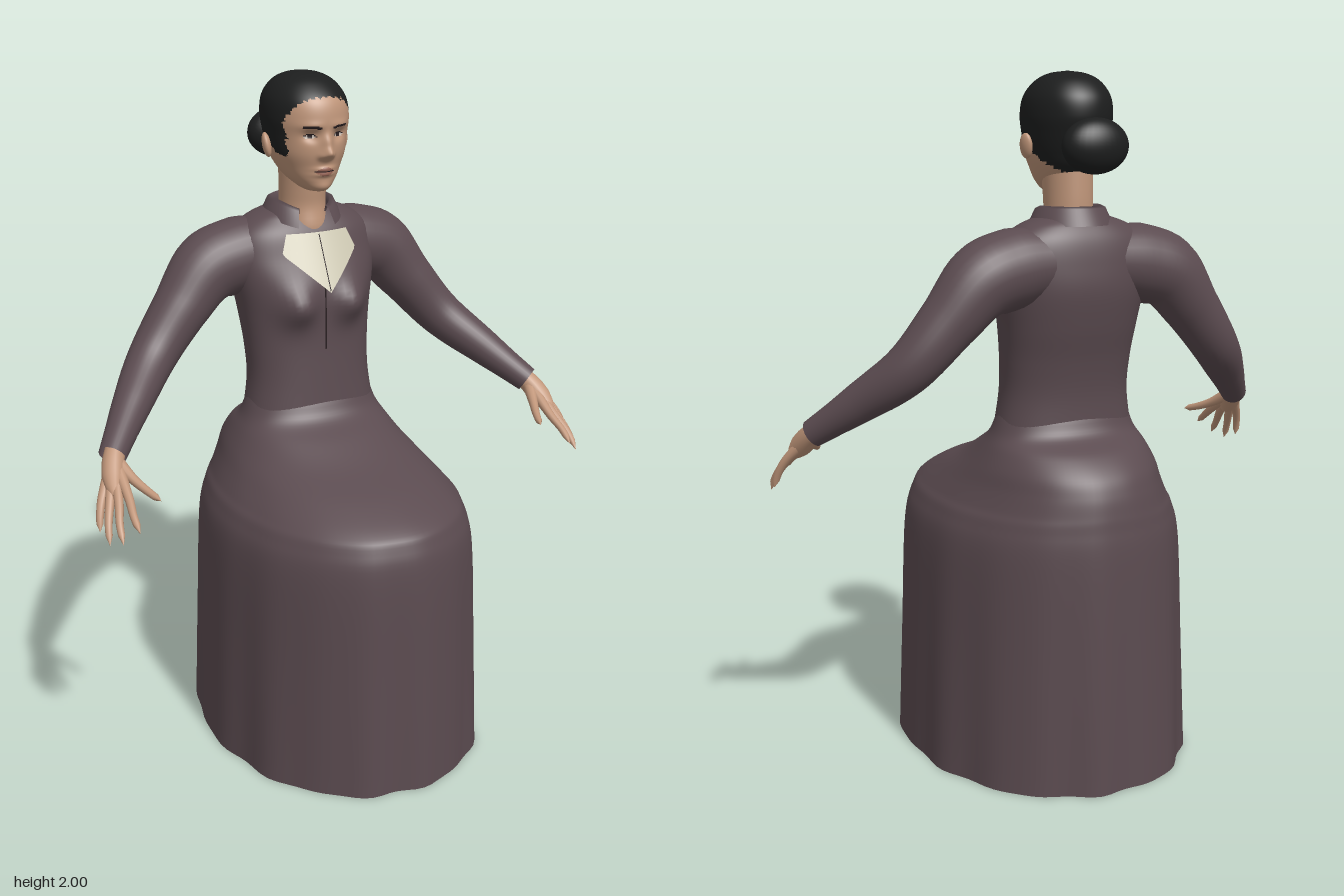
import * as THREE from 'three';

const mat = (name, color, side = THREE.FrontSide) => {
  const m = new THREE.MeshStandardMaterial({ color, side });
  m.name = name;
  return m;
};
const bump = (d, w) => Math.exp(-((d / w) ** 2));

// Smooth loft through rings [y, halfWidth, zBack, zFront]; pick() sorts faces into material groups
function loft(rings, steps, segs, power, adjust, pick, kinds = 1) {
  const spline = new THREE.CubicInterpolant(rings.map((_, i) => i), rings.flat(), 4, new Float32Array(4));
  const pos = [];
  const p = new THREE.Vector3();
  for (let i = 0; i <= steps; i++) {
    const [y, hw, zb, zf] = spline.evaluate((i / steps) * (rings.length - 1));
    for (let j = 0; j < segs; j++) {
      const a = (j / segs) * Math.PI * 2;
      const s = Math.sin(a), c = Math.cos(a);
      const k = Math.pow(Math.abs(s) ** power + Math.abs(c) ** power, -1 / power);
      p.set(Math.max(hw, 0) * s * k, y, (zb + zf) / 2 + ((zf - zb) / 2) * c * k);
      if (adjust) adjust(p, a);
      pos.push(p.x, p.y, p.z);
    }
  }
  const lists = Array.from({ length: kinds }, () => []);
  for (let i = 0; i < steps; i++) for (let j = 0; j < segs; j++) {
    const a = i * segs + j, b = i * segs + ((j + 1) % segs), c = b + segs, d = a + segs;
    const mid = (n) => (pos[a * 3 + n] + pos[c * 3 + n]) / 2;
    lists[pick ? pick(mid(0), mid(1), mid(2)) : 0].push(a, b, c, a, c, d);
  }
  const g = new THREE.BufferGeometry();
  g.setAttribute('position', new THREE.Float32BufferAttribute(pos, 3));
  g.setIndex(lists.flat());
  let start = 0;
  if (kinds > 1) lists.forEach((l, k) => { g.addGroup(start, l.length, k); start += l.length; });
  g.computeVertexNormals();
  return g;
}

// Tube along a smooth curve with a radius that varies along it
function limb(points, radii, steps, segs) {
  const curve = new THREE.CatmullRomCurve3(points.map((q) => new THREE.Vector3(...q)));
  const g = new THREE.TubeGeometry(curve, steps, 1, segs);
  const at = g.attributes.position;
  const v = new THREE.Vector3();
  for (let i = 0; i <= steps; i++) {
    const c = curve.getPointAt(i / steps);
    const t = (i / steps) * (radii.length - 1), k = Math.min(Math.floor(t), radii.length - 2);
    const r = THREE.MathUtils.lerp(radii[k], radii[k + 1], t - k);
    for (let j = 0; j <= segs; j++) {
      const n = i * (segs + 1) + j;
      v.fromBufferAttribute(at, n).sub(c).multiplyScalar(r).add(c);
      at.setXYZ(n, v.x, v.y, v.z);
    }
  }
  return g;
}

// Open sheet from a function of (u, v)
function sheet(nu, nv, fn) {
  const g = new THREE.PlaneGeometry(1, 1, nu, nv);
  const at = g.attributes.position;
  for (let i = 0; i < at.count; i++) at.setXYZ(i, ...fn(at.getX(i) + 0.5, at.getY(i) + 0.5));
  g.computeVertexNormals();
  return g;
}

export function createModel() {
  const model = new THREE.Group();
  const dress = mat('plum cloth', 0x5b4b50, THREE.DoubleSide);
  const skin = mat('skin', 0xc0967a);
  const hair = mat('black hair', 0x1d1e1e);
  const cream = mat('cream cloth', 0xcdc8b2, THREE.DoubleSide);
  const lips = mat('lips', 0x9a6758);
  const dark = mat('dark line', 0x2a2022);
  const white = mat('eye white', 0xcfc4ba);
  const add = (name, geometry, material) => {
    const m = new THREE.Mesh(geometry, material);
    m.name = name;
    model.add(m);
    return m;
  };

  // Long skirt, open below, with soft folds that fade upward
  add('skirt', loft([
    [0, 0.405, -0.522, 0.522], [0.35, 0.393, -0.512, 0.512], [0.66, 0.38, -0.503, 0.502],
    [0.76, 0.355, -0.493, 0.482], [0.8, 0.33, -0.487, 0.45], [0.85, 0.297, -0.475, 0.34],
    [0.9, 0.268, -0.45, 0.19], [0.95, 0.24, -0.395, 0.08], [0.99, 0.218, -0.32, 0],
    [1.04, 0.2, -0.292, -0.032],
  ], 54, 96, 2.1, (p, a) => {
    const k = 1 + (0.012 * Math.sin(11 * a) + 0.008 * Math.sin(17 * a + 1)) * Math.max(0, 1 - p.y / 0.95);
    p.x *= k;
    p.z *= k;
  }), dress);

  // Bodice with bust
  add('bodice', loft([
    [0.98, 0.21, -0.295, -0.025], [1.1, 0.192, -0.295, -0.035], [1.2, 0.194, -0.31, -0.042],
    [1.3, 0.205, -0.335, -0.045], [1.4, 0.222, -0.352, -0.05], [1.48, 0.232, -0.347, -0.08],
    [1.54, 0.215, -0.335, -0.102], [1.58, 0.165, -0.315, -0.128], [1.605, 0.1, -0.292, -0.145],
  ], 56, 72, 2.3, (p, a) => {
    if (Math.cos(a) > 0) {
      p.z += 0.05 * Math.cos(a) * bump(Math.abs(p.x) - 0.09, 0.055) * bump(p.y - 1.335, 0.055);
    }
  }), dress);
  add('frontSeam', limb([[0, 1.2, -0.042], [0, 1.3, -0.041], [0, 1.39, -0.045]], [0.0025, 0.0025], 8, 6), dark);

  // Cream bib over the chest
  add('bib', sheet(12, 16, (u, v) => {
    const y = 1.38 + 0.165 * v;
    const w = y < 1.49 ? ((y - 1.38) / 0.11) * 0.12 : 0.12 - ((y - 1.49) / 0.055) * 0.022;
    const x = (u * 2 - 1) * w;
    return [x, y, -0.008 - 0.08 * v - 1.6 * x * x];
  }), cream);
  add('bibSeam', limb([[0, 1.385, -0.009], [0, 1.54, -0.085]], [0.0015, 0.0015], 2, 6), dark);

  // Turned-down collar, open at the front
  const fold = [[0.076, 1.575], [0.081, 1.612], [0.086, 1.634], [0.098, 1.628], [0.12, 1.582]];
  add('collar', sheet(48, 4, (u, v) => {
    const a = 0.52 + u * (Math.PI * 2 - 1.04);
    const [r, y] = fold[Math.round(v * 4)];
    const front = Math.max(0, Math.cos(a));
    return [Math.sin(a) * r, y - 0.03 * front * front, -0.205 + Math.cos(a) * (r + 0.004)];
  }), dress);

  // Neck
  add('neck', loft([
    [1.5, 0.075, -0.28, -0.12], [1.55, 0.072, -0.277, -0.107], [1.61, 0.068, -0.272, -0.117],
    [1.66, 0.068, -0.272, -0.112], [1.74, 0.07, -0.27, -0.1],
  ], 16, 40, 2), skin);

  // Head: face relief, with hair, eyes, brows and lips as separate faces
  const relief = (p, a) => {
    if (Math.cos(a) < 0.2) return;
    const x = Math.abs(p.x), y = p.y;
    p.z += bump(x, 0.017) * (0.028 * bump(y - 1.784, 0.017) + 0.016 * bump(y - 1.815, 0.025));
    p.z += 0.007 * bump(x - 0.018, 0.009) * bump(y - 1.777, 0.01);
    p.z -= 0.013 * bump(x - 0.044, 0.022) * bump(y - 1.834, 0.017);
    p.z += 0.005 * bump(x - 0.045, 0.035) * bump(y - 1.862, 0.012);
    p.z += bump(x, 0.03) * (0.008 * bump(y - 1.737, 0.008) + 0.008 * bump(y - 1.722, 0.008));
    p.z += 0.006 * bump(x, 0.03) * bump(y - 1.683, 0.016);
  };
  const paint = (x, y, z) => {
    const ax = Math.abs(x);
    const rough = 0.004 * Math.sin(x * 310 + y * 170) + 0.003 * Math.sin(y * 520 + z * 90);
    const low = z > -0.155 ? 1.775 : 1.79 - Math.max(0, -z - 0.17) * 0.72;
    if (y + rough > 1.947) return 1;
    if (z + rough < -0.098 + Math.max(0, y - 1.88) * 0.8 && y + rough > low) return 1;
    if (z < -0.12) return 0;
    const ex = (ax - 0.045) / 0.019, ey = y - 1.833;
    if (Math.abs(ex) < 1) {
      const open = 0.008 * (1 - ex * ex);
      if (Math.abs(ey) < open) return Math.abs(ex) < 0.36 || ey > open - 0.0035 ? 3 : 4;
    }
    if (ax > 0.02 && ax < 0.07 && Math.abs(y - 1.86 + 4 * (ax - 0.05) ** 2) < 0.0035) return 3;
    if (ax < 0.031 && Math.abs(y - 1.73) < 0.013 * (1 - (ax / 0.031) ** 2)) {
      return Math.abs(y - 1.7295) < 0.0016 ? 3 : 2;
    }
    return 0;
  };
  add('head', loft([
    [1.667, 0.004, -0.13, -0.1], [1.672, 0.034, -0.175, -0.064], [1.7, 0.066, -0.235, -0.05],
    [1.74, 0.091, -0.28, -0.045], [1.78, 0.107, -0.3, -0.036], [1.83, 0.116, -0.318, -0.033],
    [1.88, 0.121, -0.33, -0.027], [1.93, 0.114, -0.323, -0.04], [1.97, 0.088, -0.29, -0.08],
    [1.992, 0.05, -0.245, -0.125], [2, 0, -0.185, -0.185],
  ], 150, 168, 2.1, relief, paint, 5), [skin, hair, lips, dark, white]);

  // Hair bun at the back
  const bun = add('hairBun', new THREE.SphereGeometry(1, 32, 24), hair);
  bun.scale.set(0.098, 0.076, 0.06);
  bun.position.set(0, 1.8, -0.352);

  for (const [side, s] of [['left', 1], ['right', -1]]) {
    const flip = (pts) => pts.map(([x, y, z]) => [x * s, y, z]);

    const ear = add(side + 'Ear', new THREE.SphereGeometry(1, 16, 12), skin);
    ear.scale.set(0.013, 0.036, 0.022);
    ear.position.set(0.122 * s, 1.797, -0.176);
    ear.rotation.set(-0.15, 0.35 * s, -0.12 * s);

    // Sleeve from shoulder to wrist, bent at the elbow
    add(side + 'Sleeve', limb(flip([
      [0.1, 1.475, -0.235], [0.2, 1.465, -0.24], [0.29, 1.435, -0.243], [0.38, 1.335, -0.232],
      [0.49, 1.205, -0.2], [0.6, 1.1, -0.1], [0.7, 1.005, 0.005],
    ]), [0.1, 0.113, 0.11, 0.094, 0.083, 0.076, 0.07, 0.064, 0.056, 0.047, 0.04], 48, 28), dress);

    // Hand: palm, then fingers that start at the wrist and spread from the knuckles
    add(side + 'Palm', limb(flip([
      [0.675, 1.03, -0.02], [0.7, 1, 0.015], [0.722, 0.955, 0.065], [0.735, 0.915, 0.115],
    ]), [0.03, 0.03, 0.033, 0.032, 0.022, 0], 18, 16), skin);
    const wrist = [0.7, 1, 0.015];
    const fingers = {
      Index: [[0.704, 0.925, 0.135], [0.712, 0.892, 0.19], [0.712, 0.86, 0.235]],
      Middle: [[0.731, 0.912, 0.128], [0.748, 0.868, 0.175], [0.753, 0.825, 0.212]],
      Ring: [[0.75, 0.907, 0.106], [0.77, 0.858, 0.145], [0.778, 0.812, 0.172]],
      Little: [[0.762, 0.914, 0.078], [0.778, 0.872, 0.1], [0.785, 0.832, 0.115]],
      Thumb: [[0.672, 0.958, 0.085], [0.648, 0.935, 0.14], [0.63, 0.922, 0.188]],
    };
    for (const [name, path] of Object.entries(fingers)) {
      add(side + name + 'Finger', limb(flip([wrist, ...path]),
        [0.022, 0.02, 0.018, 0.016, 0.014, 0.013, 0.012, 0.011, 0.01, 0], 27, 12), skin);
    }
  }
  return model;
}
